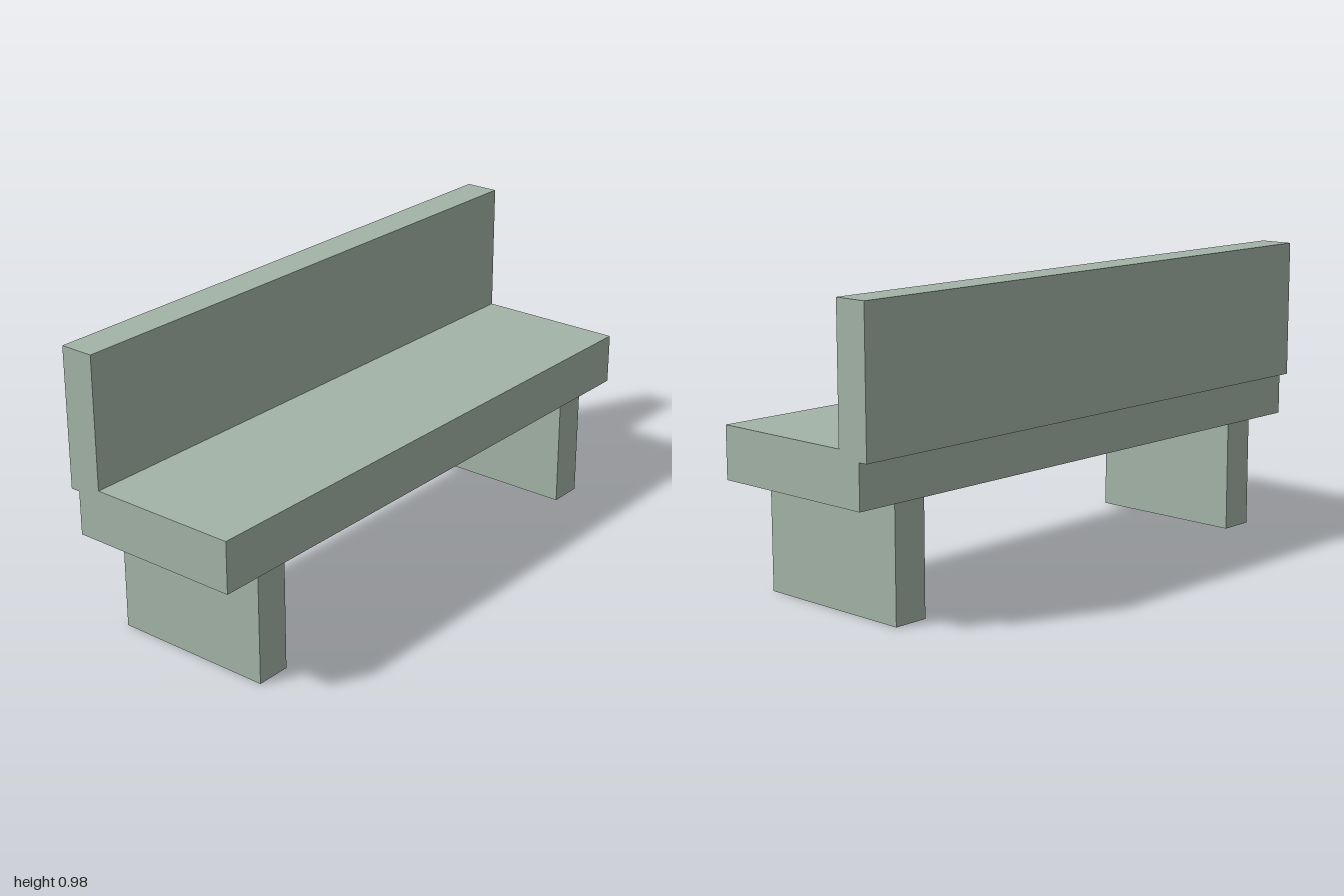
import * as THREE from 'three';

export function createModel() {
  const bench = new THREE.Group();
  bench.name = 'bench';
  const paint = new THREE.MeshStandardMaterial({ color: 0xa4b4a8 });
  paint.name = 'sage grey';

  // Box given by its [min, max] extents on each axis
  function addBox(name, [x0, x1], [y0, y1], [z0, z1]) {
    const mesh = new THREE.Mesh(new THREE.BoxGeometry(x1 - x0, y1 - y0, z1 - z0), paint);
    mesh.position.set((x0 + x1) / 2, (y0 + y1) / 2, (z0 + z1) / 2);
    mesh.name = name;
    bench.add(mesh);
  }

  // Thick seat slab
  addBox('seat', [-1, 1], [0.377, 0.548], [-0.281, 0.313]);

  // Backrest, set into the seat and overhanging its rear edge
  addBox('backrest', [-1, 1], [0.521, 0.983], [-0.313, -0.197]);

  // Slab legs, inset from the ends
  addBox('leftLeg', [0.73, 0.848], [0, 0.377], [-0.263, 0.293]);
  addBox('rightLeg', [-0.848, -0.73], [0, 0.377], [-0.263, 0.293]);

  return bench;
}
